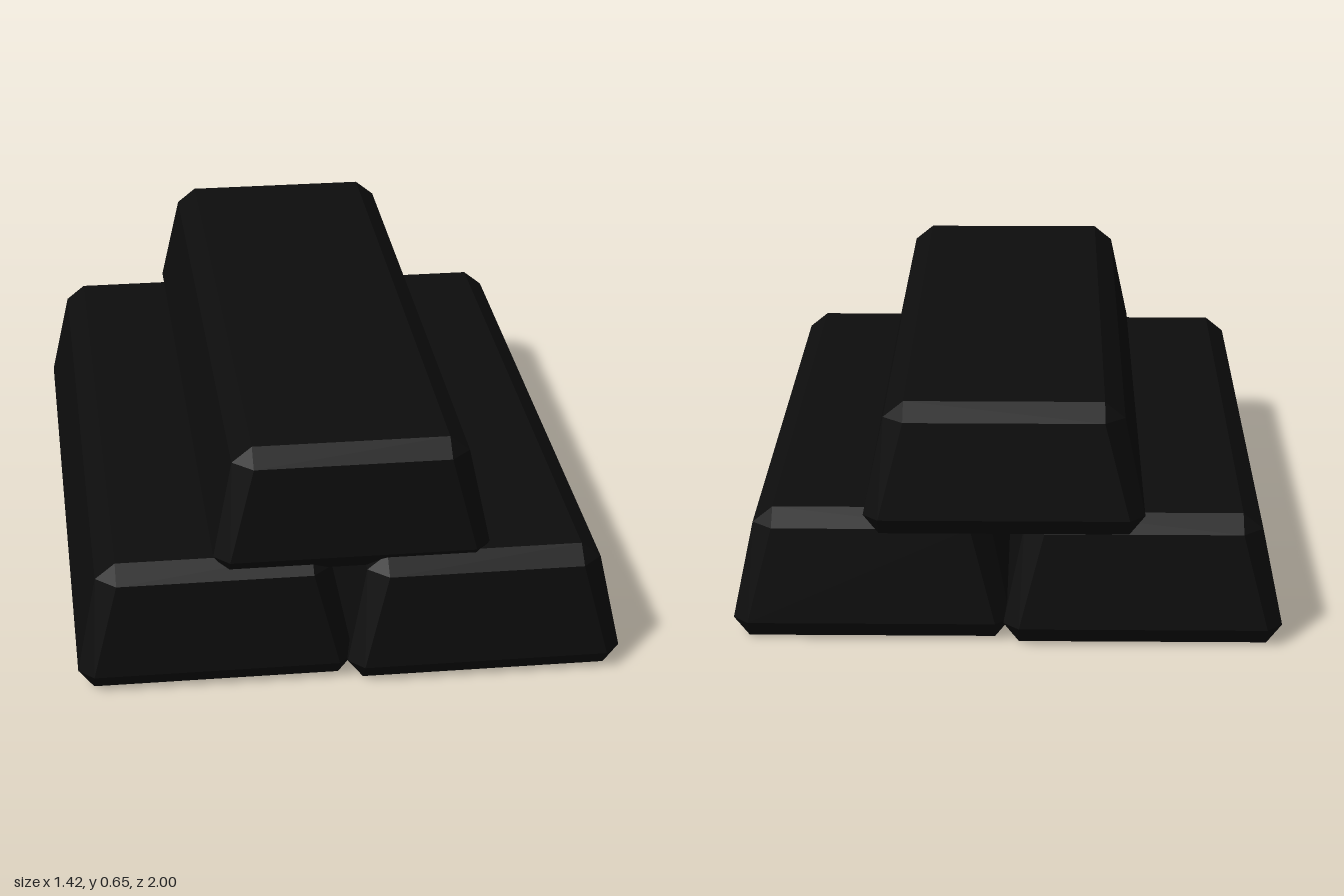
import * as THREE from 'three';
import { ConvexGeometry } from 'three/addons/geometries/ConvexGeometry.js';

// Tapered bar with every edge bevelled: a flat face at each end of its height,
// and two wider rings with cut corners between them.
function barGeometry() {
  const levels = [
    // ring height, flat height, flat half width / length, ring half width / length
    { ringY: 0.05, flatY: 0, w: 0.32, l: 0.93, W: 0.36, L: 0.973 },
    { ringY: 0.303, flatY: 0.345, w: 0.255, l: 0.9, W: 0.307, L: 0.95 },
  ];
  const points = [];
  for (const { ringY, flatY, w, l, W, L } of levels) {
    for (const sx of [-1, 1]) {
      for (const sz of [-1, 1]) {
        points.push(
          new THREE.Vector3(sx * w, flatY, sz * l),
          new THREE.Vector3(sx * W, ringY, sz * l),
          new THREE.Vector3(sx * w, ringY, sz * L),
        );
      }
    }
  }
  return new ConvexGeometry(points);
}

export function createModel() {
  const group = new THREE.Group();
  group.name = 'barStack';
  const geometry = barGeometry();
  const material = new THREE.MeshStandardMaterial({ color: 0x0d0d0d, flatShading: true });

  // Two bars side by side and one resting across the gap
  const bars = [
    ['lowerRightBar', -0.351, 0, -0.007],
    ['lowerLeftBar', 0.351, 0, 0.026],
    ['upperBar', 0.007, 0.304, -0.027],
  ];
  for (const [name, x, y, z] of bars) {
    const bar = new THREE.Mesh(geometry, material);
    bar.name = name;
    bar.position.set(x, y, z);
    group.add(bar);
  }
  return group;
}
